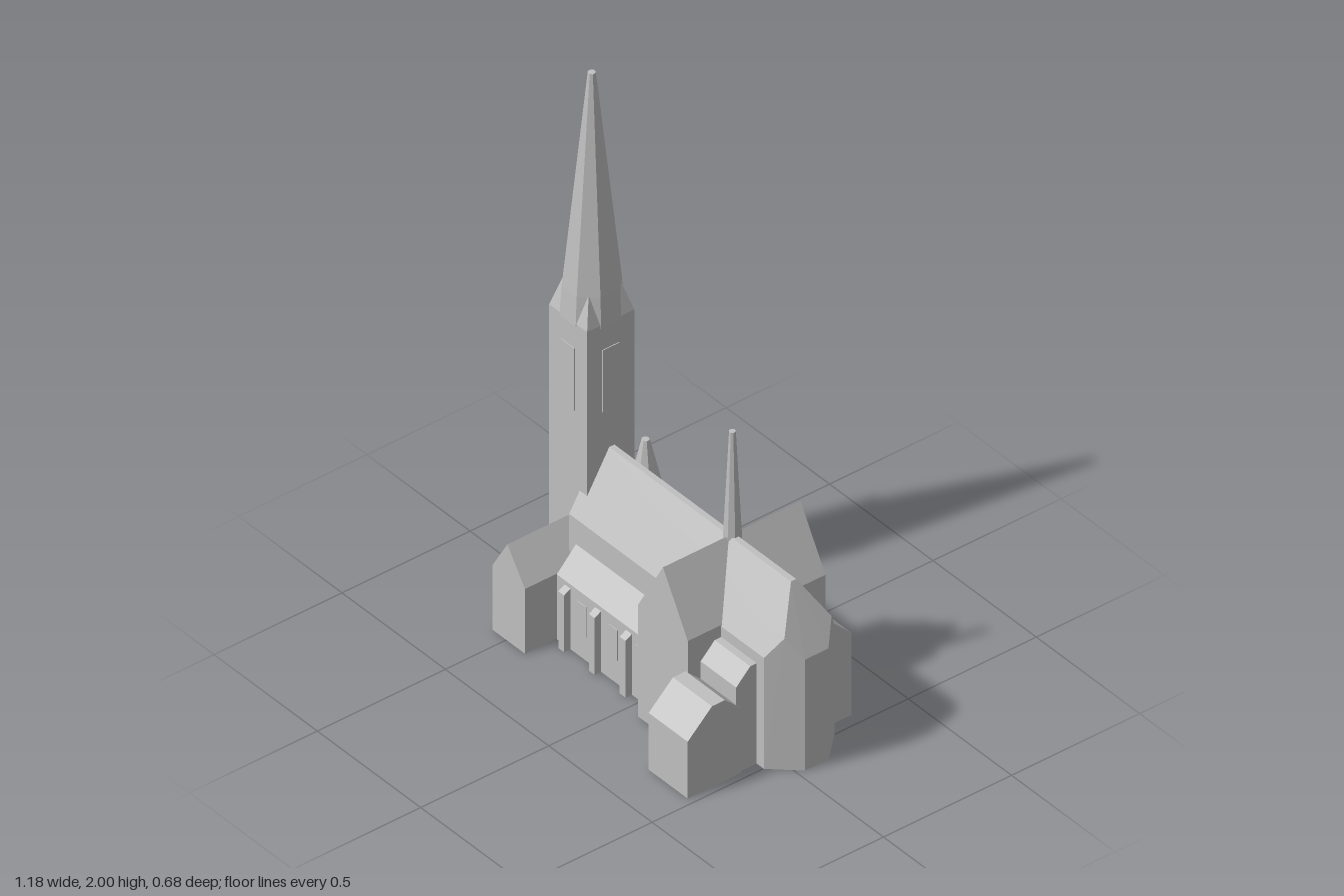
import * as THREE from 'three';
import { ConvexGeometry } from 'three/addons/geometries/ConvexGeometry.js';

export function createModel() {
  const group = new THREE.Group();
  const stone = new THREE.MeshStandardMaterial({ color: 0xc0c0c0 });
  stone.name = 'stone grey';
  const axis = -0.0725; // z of the nave ridge

  const add = (name, geo) => {
    const flat = geo.index ? geo.toNonIndexed() : geo;
    flat.computeVertexNormals();
    const mesh = new THREE.Mesh(flat, stone);
    mesh.name = name;
    group.add(mesh);
    return mesh;
  };
  const extrude = (pts, depth) => new THREE.ExtrudeGeometry(
    new THREE.Shape(pts.map(([a, b]) => new THREE.Vector2(a, b))), { depth, bevelEnabled: false });
  // profile of [x, y] points run along z
  const prismZ = (name, pts, z0, z1) => add(name, extrude(pts, z1 - z0).translate(0, 0, z0));
  // profile of [z, y] points run along x
  const prismX = (name, pts, x0, x1) => add(name,
    extrude(pts.map(([z, y]) => [-z, y]), x1 - x0).rotateY(Math.PI / 2).translate(x0, 0, 0));
  const box = (name, x0, x1, y0, y1, z0, z1) => add(name,
    new THREE.BoxGeometry(x1 - x0, y1 - y0, z1 - z0).translate((x0 + x1) / 2, (y0 + y1) / 2, (z0 + z1) / 2));
  // eight-sided tapered piece with flat sides facing the axes; a0, a1 are apothems
  const octagon = (name, x, z, y0, y1, a0, a1) => {
    const k = 1 / Math.cos(Math.PI / 8);
    return add(name, new THREE.CylinderGeometry(a1 * k, a0 * k, y1 - y0, 8)
      .rotateY(Math.PI / 8).translate(x, (y0 + y1) / 2, z));
  };

  // Nave and polygonal apse with gabled corner faces
  const hull = [];
  for (const s of [1, -1]) {
    const p = (x, y, z) => hull.push(new THREE.Vector3(x, y, axis + s * z));
    for (const y of [0, 0.42]) {
      p(-0.44, y, 0.1375);
      p(0.502, y, 0.1375);
      p(0.587, y, 0.046);
    }
    p(-0.44, 0.635, 0.01);
    p(0.475, 0.635, 0.01);
    p(0.545, 0.497, 0.092);
  }
  add('naveAndApse', new ConvexGeometry(hull));

  // Transept and crossing spire
  prismZ('transept', [[0.055, 0], [0.295, 0], [0.295, 0.425], [0.175, 0.635], [0.055, 0.425]], -0.342, 0.195);
  octagon('crossingSpire', 0.17, -0.08, 0.58, 1.02, 0.03, 0.01);

  // Side aisles with lean-to roofs
  prismX('southAisle', [[0, 0], [0.14, 0], [0.14, 0.245], [0.06, 0.33], [0, 0.33]], -0.407, 0.1);
  prismX('northAisle', [[-0.15, 0], [-0.15, 0.33], [-0.21, 0.33], [-0.3, 0.245], [-0.3, 0]], -0.41, 0.1);

  // Buttresses with sloped caps, and aisle windows
  for (const x of [-0.355, -0.207, -0.058, 0.06]) {
    prismX('southButtress', [[0.13, 0], [0.165, 0], [0.165, 0.215], [0.13, 0.235]], x - 0.014, x + 0.014);
    prismX('northButtress', [[-0.29, 0], [-0.29, 0.235], [-0.322, 0.215], [-0.322, 0]], x - 0.014, x + 0.014);
  }
  for (const x of [-0.285, -0.133, 0]) {
    box('southAisleWindow', x - 0.022, x + 0.022, 0.09, 0.205, 0.138, 0.143);
    box('northAisleWindow', x - 0.022, x + 0.022, 0.09, 0.205, -0.303, -0.298);
  }

  // Choir side chapels
  prismX('northChapel', [[-0.15, 0], [-0.15, 0.38], [-0.245, 0.38], [-0.315, 0.31], [-0.315, 0]], 0.25, 0.455);
  prismX('southChapel', [[0, 0], [0.145, 0], [0.145, 0.325], [0.09, 0.38], [0, 0.38]], 0.25, 0.467);

  // Sacristy with a flat-topped roof
  prismX('sacristy', [[0.13, 0], [0.34, 0], [0.34, 0.215], [0.245, 0.305], [0.195, 0.305], [0.13, 0.245]], 0.285, 0.474);

  // South porch
  prismZ('porch', [[-0.567, 0], [-0.41, 0], [-0.41, 0.245], [-0.495, 0.365], [-0.567, 0.245]], -0.02, 0.262);

  // Tower, broaches and spire
  const tx = -0.496, tz = -0.068, th = 0.092;
  box('tower', tx - th, tx + th, 0, 1.11, tz - th, tz + th);
  add('spireBroaches', new THREE.ConeGeometry(th * Math.SQRT2, 0.33, 4)
    .rotateY(Math.PI / 4).translate(tx, 1.11 + 0.165, tz));
  octagon('spireBase', tx, tz, 1.1, 1.21, 0.094, 0.088);
  octagon('spire', tx, tz, 1.21, 2, 0.088, 0.012);

  // Tower openings: front, back and east belfry windows, paired west windows and door
  for (const s of [1, -1]) {
    const z = tz + s * th;
    box('belfryWindow', tx - 0.033, tx + 0.033, 0.78, 1.015, z - 0.003, z + 0.003);
    const c = tz + s * 0.03;
    box('westBelfryWindow', tx - th - 0.003, tx - th + 0.003, 0.78, 1.015, c - 0.018, c + 0.018);
  }
  box('eastBelfryWindow', tx + th - 0.003, tx + th + 0.003, 0.78, 1.015, tz - 0.033, tz + 0.033);
  box('westWindow', tx - th - 0.003, tx - th + 0.003, 0.25, 0.58, tz - 0.033, tz + 0.033);
  box('westDoor', tx - th - 0.003, tx - th + 0.003, 0, 0.15, tz - 0.033, tz + 0.033);

  // Stair turret
  octagon('turret', -0.445, -0.237, 0, 0.36, 0.05, 0.05);
  octagon('turretRoof', -0.445, -0.237, 0.36, 0.56, 0.055, 0.012);

  return group;
}
